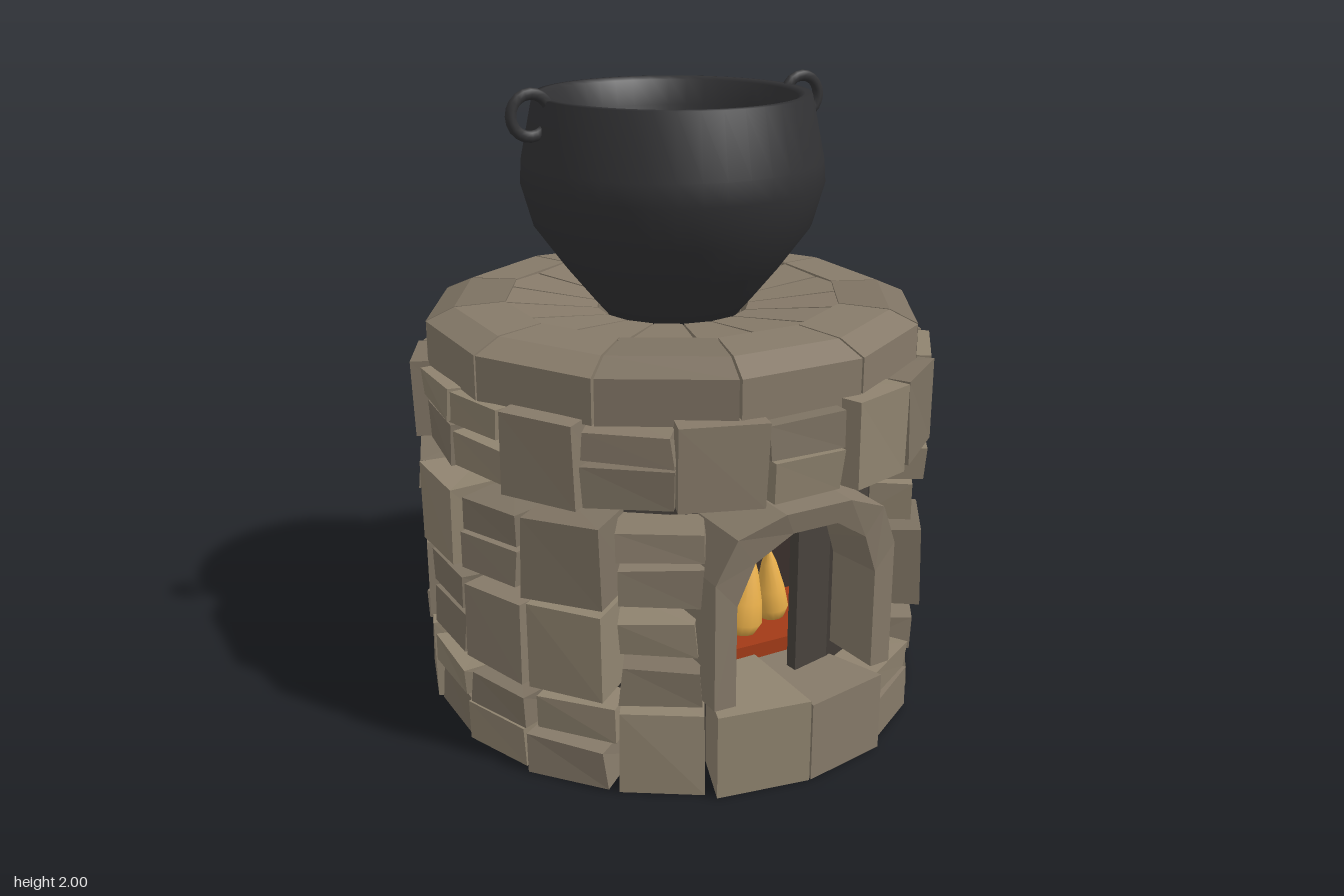
import * as THREE from 'three';

const DEG = Math.PI / 180;
const mat = (color, opts = {}) => {
  const m = new THREE.MeshStandardMaterial(opts);
  m.color.set(color);
  return m;
};
const flat = { flatShading: true };
const stoneMats = [0x867a69, 0x7d7262, 0x8f836f].map(c => mat(c, flat));
const iron = mat(0x323234);
const liningMats = [0x48433d, 0x3f3a35].map(c => mat(c, flat));

let seed = 7;
function rnd(a, b) {
  seed = (seed * 16807) % 2147483647;
  return a + (b - a) * seed / 2147483647;
}

function add(parent, name, geometry, material) {
  const m = new THREE.Mesh(geometry, material);
  m.name = name;
  parent.add(m);
  return m;
}

function subgroup(parent, name) {
  const g = new THREE.Group();
  g.name = name;
  parent.add(g);
  return g;
}

// Closed solid through a row of cross-section loops, faceted, with end caps
function loft(loops) {
  const pos = [];
  const tri = (...v) => v.forEach(p => pos.push(p.x, p.y, p.z));
  const n = loops[0].length;
  for (let s = 0; s < loops.length - 1; s++) {
    const A = loops[s], B = loops[s + 1];
    for (let i = 0; i < n; i++) {
      const j = (i + 1) % n;
      tri(A[i], A[j], B[j]);
      tri(A[i], B[j], B[i]);
    }
  }
  const first = loops[0], last = loops[loops.length - 1];
  for (let i = 1; i < n - 1; i++) {
    tri(first[0], first[i + 1], first[i]);
    tri(last[0], last[i], last[i + 1]);
  }
  const g = new THREE.BufferGeometry();
  g.setAttribute('position', new THREE.Float32BufferAttribute(pos, 3));
  g.computeVertexNormals();
  return g;
}

const block = (r0, r1, y0, y1) => [[r0, y0], [r0, y1], [r1, y1], [r1, y0]];

// Stone filling the angles a0..a1 (degrees from the front) with a [radius, y] profile
function sector(a0, a1, profile) {
  return loft([a0, a1].map(a => profile.map(([r, y]) =>
    new THREE.Vector3(r * Math.sin(a * DEG), y, r * Math.cos(a * DEG)))));
}

// Rough parallel-sided block, half width w, turned to face outwards at an angle
function roughBlock(angle, w, r0, r1, y0, y1) {
  const j = s => rnd(-s, s);
  const g = loft([-w, w].map(x => block(r0, r1, y0, y1).map(([r, y]) =>
    new THREE.Vector3(x + j(0.008), Math.max(0, y + j(0.006)), r + j(0.008)))));
  return g.rotateY(angle * DEG);
}

// One slot in a course: a full block (F) or two thin stones (S)
function wallSlot(parent, angle, w, y, type) {
  const full = type === 'F';
  const pieces = full
    ? [[0, rnd(0.25, 0.272)]]
    : [[0, rnd(0.11, 0.14)], [0.143, rnd(0.225, 0.25)]];
  for (const [lo, hi] of pieces) {
    const r = full ? rnd(0.815, 0.835) : rnd(0.785, 0.835);
    const g = roughBlock(angle + rnd(-0.8, 0.8), w + rnd(-0.012, 0.008), 0.605, r, y + lo, y + hi);
    add(parent, 'wallStone', g, stoneMats[Math.floor(rnd(0, 2.99))]);
  }
}

function buildWall(root) {
  const wall = subgroup(root, 'stoneWall');
  // Lower courses leave the front open for the arch
  const lower = ['SFSSFSFSFSFSSSF', 'FSFSFFSFSSFSFFS', 'SFSSFSFFSFSFSFS'];
  lower.forEach((types, row) => {
    const course = subgroup(wall, 'course');
    [...types].forEach((t, i) => wallSlot(course, 57 + i * 19.38, 0.125, row * 0.3, t));
  });
  // Unbroken top course, one stone centred above the arch
  const top = subgroup(wall, 'topCourse');
  [...'SFFFFSFSFSFSSFSSFSF'].forEach((t, i) => wallSlot(top, i * 360 / 19, 0.128, 0.9, t));
  // Sill under the fire opening and the small stones beside it
  wallSlot(wall, 30, 0.11, 0, 'S');
  add(wall, 'sillStone', sector(-20, -0.2, block(0.5, 0.862, 0, 0.27)), stoneMats[2]);
  add(wall, 'sillStone', sector(0.2, 19.5, block(0.5, 0.862, 0, 0.255)), stoneMats[0]);
}

function buildLining(root) {
  // Dark upright slabs behind the stones, open at the fire
  const lining = subgroup(root, 'innerLining');
  for (let i = 0; i < 28; i++) {
    const a = 6 + i * 12.02;
    add(lining, 'liningSlab', sector(a, a + 12.02, block(0.625, 0.665, 0, 1.19)), liningMats[i % 2]);
  }
  const back = add(root, 'fireboxBack', new THREE.PlaneGeometry(0.8, 0.66), mat(0x3a302c));
  back.position.set(0, 0.6, 0.2);
}

function buildArch(root) {
  // [outer x, outer y, inner x, inner y] from one foot to the crown, then mirrored
  const half = [
    [0.31, 0.3, 0.24, 0.3],
    [0.31, 0.7, 0.24, 0.62],
    [0.25, 0.835, 0.19, 0.75],
    [0.11, 0.895, 0.075, 0.825]
  ];
  const stations = [
    ...half.map(([a, b, c, d]) => [-a, b, -c, d]),
    ...[...half].reverse()
  ];
  const front = x => Math.sqrt(0.872 ** 2 - x * x);
  const loops = stations.map(([ox, oy, ix, iy]) => [
    new THREE.Vector3(ox, oy, 0.42),
    new THREE.Vector3(ox, oy, front(ox)),
    new THREE.Vector3(ix, iy, front(ix) - 0.02),
    new THREE.Vector3(ix * 0.86, iy - (iy > 0.4 ? 0.02 : 0), 0.42)
  ]);
  add(root, 'fireArch', loft(loops), stoneMats[0]);
}

function buildFire(root) {
  const fire = subgroup(root, 'fire');
  const tray = add(fire, 'emberBed', new THREE.BoxGeometry(0.66, 0.05, 0.3), mat(0xa23a17, flat));
  tray.position.set(-0.01, 0.28, 0.39);
  tray.rotation.z = -0.02;
  // Flames as leaning teardrops: x, z, radius, height, lean
  const flame = mat(0xeab04a);
  const profile = [[0, 0], [0.75, 0.02], [1, 0.15], [0.85, 0.4], [0.45, 0.75], [0, 1]];
  [[-0.115, 0.46, 0.05, 0.31, 0.12], [0, 0.44, 0.068, 0.28, -0.16], [0.15, 0.4, 0.055, 0.26, 0.08]]
    .forEach(([x, z, r, h, lean]) => {
      const pts = profile.map(([a, b]) => new THREE.Vector2(a * r, b * h));
      const f = add(fire, 'flame', new THREE.LatheGeometry(pts, 14), flame);
      f.position.set(x, 0.305, z);
      f.rotation.z = lean;
    });
}

function buildTop(root) {
  const cap = subgroup(root, 'capRing');
  // Outer slabs, falling off gently towards the rim
  const slab = [[0.54, 1.14], [0.54, 1.325], [0.7, 1.318], [0.79, 1.278], [0.79, 1.14]];
  for (let i = 0; i < 12; i++) {
    const a = i * 30;
    add(cap, 'capStone', sector(a - 14.7, a + 14.7, slab), stoneMats[i % 3 === 2 ? 1 : 0]);
  }
  // Inner ring of narrow stones around the pot seat
  const step = 360 / 17;
  const seat = [[0.245, 1.2], [0.245, 1.285], [0.56, 1.322], [0.56, 1.2]];
  for (let i = 0; i < 17; i++) {
    const a = i * step;
    add(cap, 'seatStone', sector(a + 0.6, a + step - 0.6, seat), stoneMats[0]);
  }
}

function buildPot(root) {
  const pot = subgroup(root, 'cookingPot');
  const pts = [
    [0, 1.25], [0.2, 1.25], [0.26, 1.32], [0.345, 1.425], [0.44, 1.555], [0.478, 1.69],
    [0.473, 1.76], [0.432, 1.958], [0.41, 1.96], [0.388, 1.95], [0.37, 1.87], [0.355, 1.8]
  ].map(p => new THREE.Vector2(...p));
  add(pot, 'potBody', new THREE.LatheGeometry(pts, 40), iron);
  const soup = add(pot, 'soup', new THREE.CircleGeometry(0.364, 40), mat(0xe27324));
  soup.rotation.x = -Math.PI / 2;
  soup.position.y = 1.83;
  for (const s of [-1, 1]) {
    const ring = add(pot, 'potHandle', new THREE.TorusGeometry(0.063, 0.018, 8, 20), iron);
    ring.position.set(s * 0.477, 1.919, 0);
  }
}

export function createModel() {
  const root = new THREE.Group();
  root.name = 'stoneStoveWithPot';
  seed = 7;
  [buildWall, buildLining, buildArch, buildFire, buildTop, buildPot].forEach(build => build(root));
  root.children.forEach(c => { c.position.z -= 0.01; });
  return root;
}
